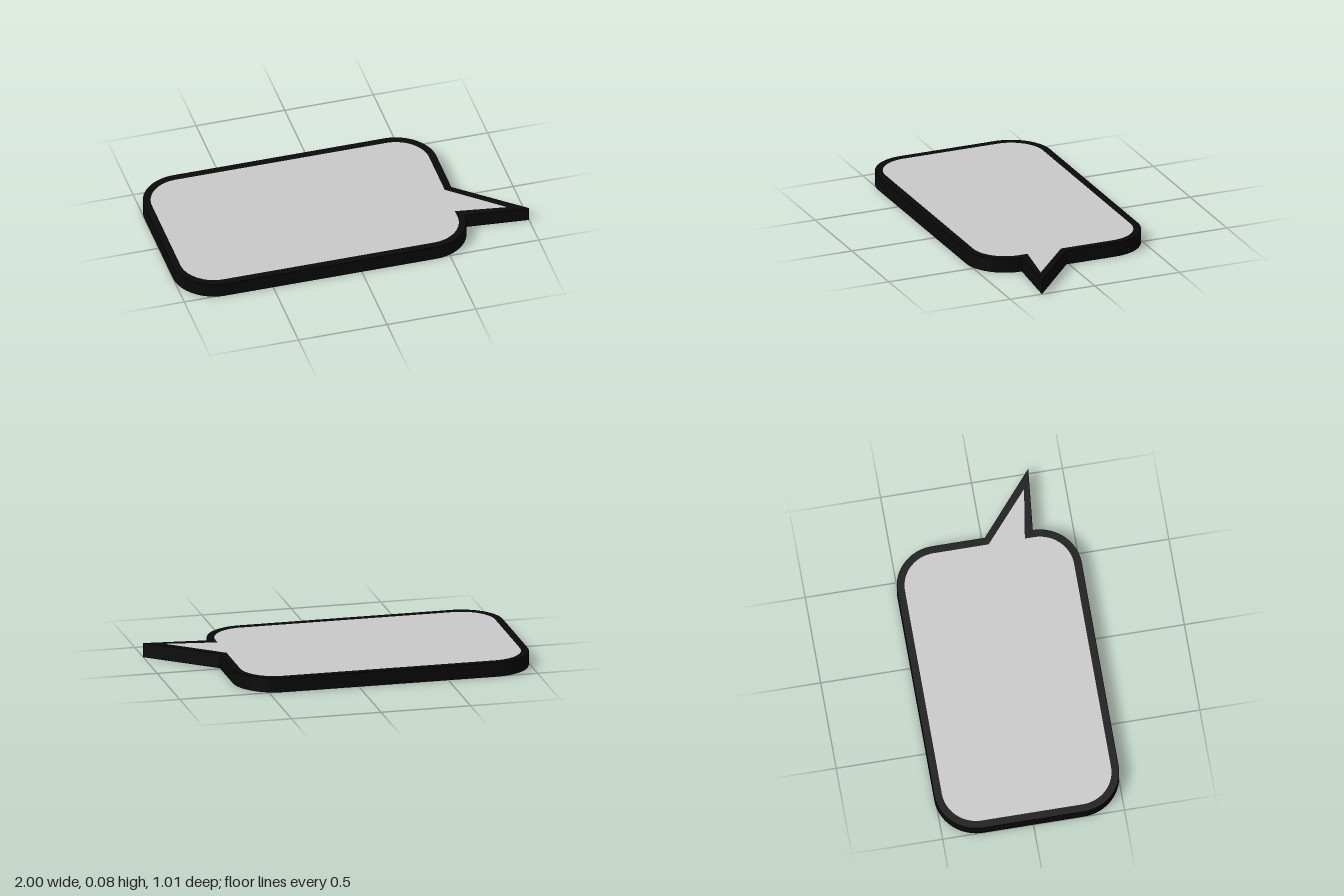
import * as THREE from 'three';
import { toCreasedNormals } from 'three/addons/utils/BufferGeometryUtils.js';

const HEIGHT = 0.08;

// Rounded rectangle with a pointed tail on the +x side (shape y is -z).
function bubble(PathType, left, right, halfDepth, radius, tail) {
  const p = new PathType();
  const [back, tip, front] = tail; // z of back root, [x, z] of tip, z of front root
  const q = Math.PI / 2;
  p.moveTo(left + radius, -halfDepth);
  p.absarc(right - radius, -halfDepth + radius, radius, -q, 0);
  p.lineTo(right, -front);
  p.lineTo(tip[0], -tip[1]);
  p.lineTo(right, -back);
  p.absarc(right - radius, halfDepth - radius, radius, 0, q);
  p.absarc(left + radius, halfDepth - radius, radius, q, 2 * q);
  p.absarc(left + radius, -halfDepth + radius, radius, 2 * q, 3 * q);
  p.closePath();
  return p;
}

const outer = (T) => bubble(T, -1, 0.647, 0.507, 0.23, [0.013, [1, 0.312], 0.277]);
const inner = (T) => bubble(T, -0.958, 0.606, 0.465, 0.188, [0.027, [0.888, 0.27], 0.226]);

function slab(name, shape, color) {
  const flat = new THREE.ExtrudeGeometry(shape, { depth: HEIGHT, bevelEnabled: false, curveSegments: 14 });
  flat.rotateX(-Math.PI / 2);
  const mesh = new THREE.Mesh(toCreasedNormals(flat, 0.5), new THREE.MeshStandardMaterial({ color }));
  mesh.name = name;
  return mesh;
}

export function createModel() {
  const group = new THREE.Group();
  group.name = 'speechBubble';

  // Dark border with the panel outline cut out
  const border = outer(THREE.Shape);
  border.holes.push(inner(THREE.Path));
  group.add(slab('border', border, 0x0a0a0a));

  // Grey panel filling the border
  group.add(slab('panel', inner(THREE.Shape), 0xcccccc));
  return group;
}
